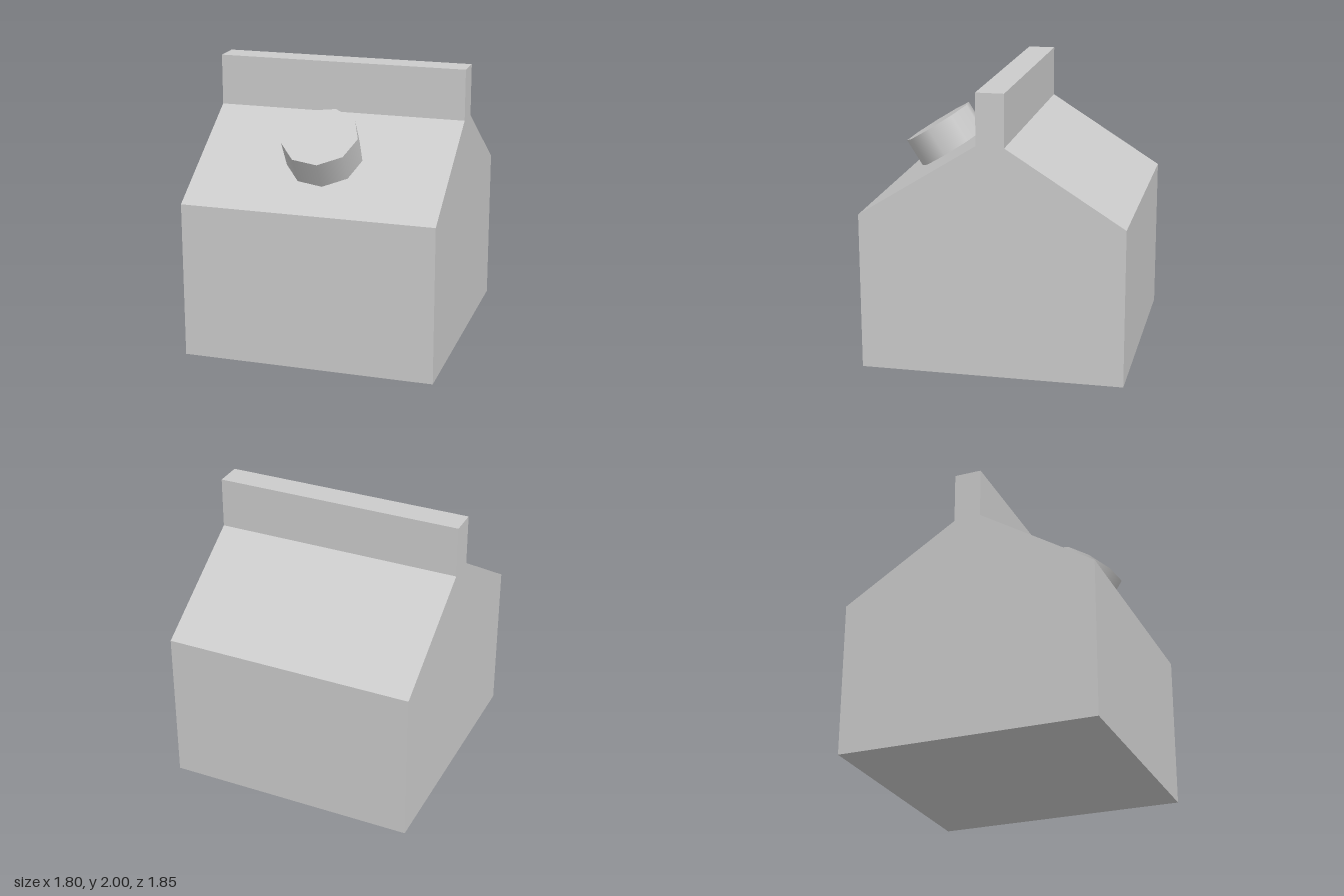
import * as THREE from 'three';

export function createModel() {
  const group = new THREE.Group();
  const grey = new THREE.MeshStandardMaterial({ color: 0xcccccc });
  const width = 1.8;

  // Carton: side profile (z, y) with sloped roof and top fin, extruded across the width
  const profile = new THREE.Shape([
    [-0.925, 0], [0.925, 0], [0.925, 1.115], [0.095, 1.638], [0.095, 2],
    [-0.1, 2], [-0.1, 1.632], [-0.925, 1.115],
  ].map(([z, y]) => new THREE.Vector2(z, y)));
  const cartonGeometry = new THREE.ExtrudeGeometry(profile, { depth: width, bevelEnabled: false });
  cartonGeometry.translate(0, 0, -width / 2).rotateY(-Math.PI / 2);
  const carton = new THREE.Mesh(cartonGeometry, grey);
  carton.name = 'carton';
  group.add(carton);

  // Nine-sided screw cap standing square on the front roof slope
  const height = 0.217;
  const capGeometry = new THREE.CylinderGeometry(0.27, 0.27, height, 9, 1, false, Math.PI / 2);
  capGeometry.translate(0, height / 2, 0);
  const cap = new THREE.Mesh(capGeometry, grey);
  cap.name = 'cap';
  cap.position.set(0, 1.4, 0.475);
  cap.rotation.x = Math.atan2(0.523, 0.83);
  group.add(cap);

  return group;
}
